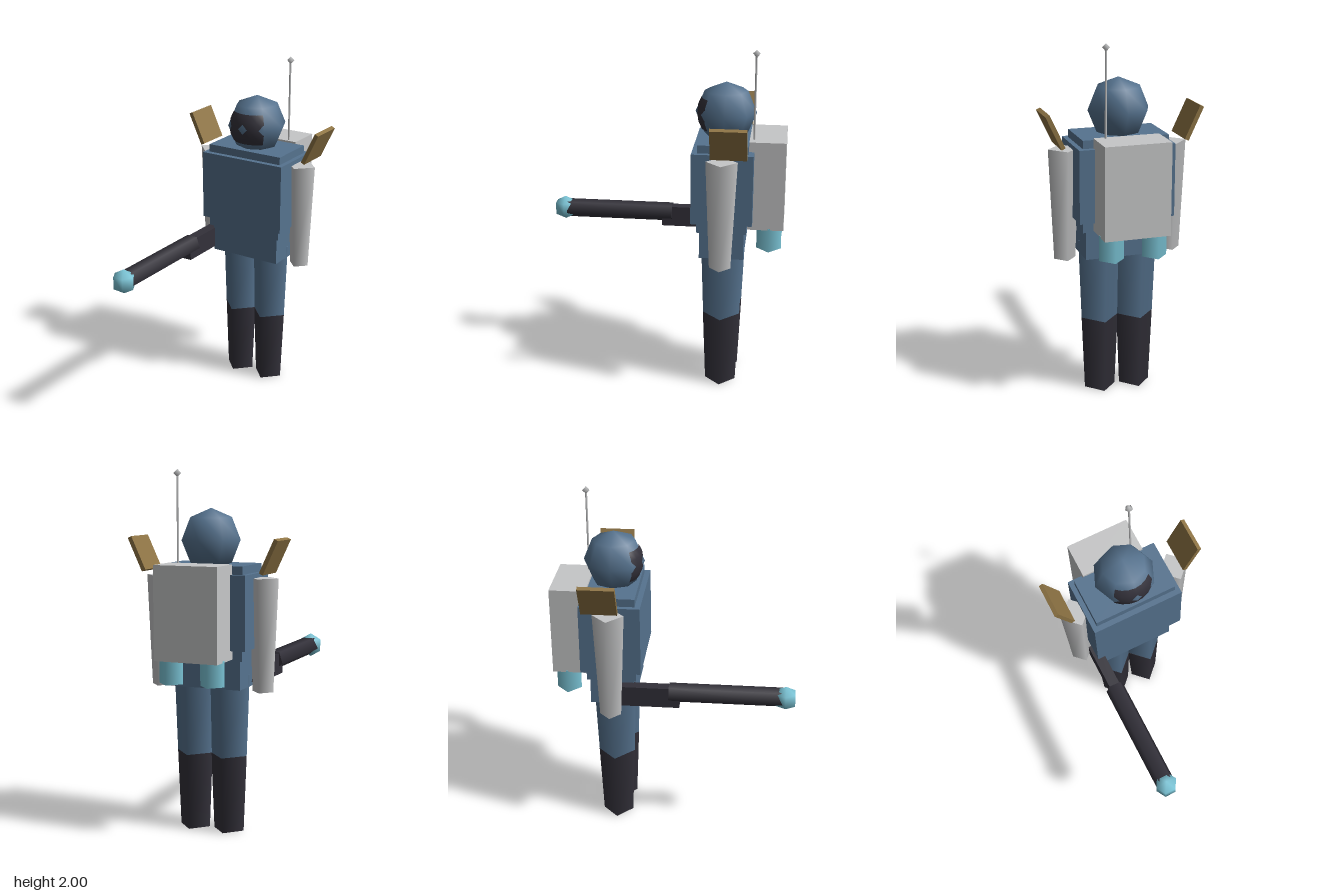
import * as THREE from 'three';

const mat = (name, color) => {
  const m = new THREE.MeshStandardMaterial({ color });
  m.name = name;
  return m;
};

export function createModel() {
  const blue = mat('armour blue', 0x56738f);
  const dark = mat('charcoal', 0x33313a);
  const grey = mat('light grey', 0xc6c7c8);
  const gold = mat('bronze', 0x8f7545);
  const cyan = mat('glow cyan', 0x7cc6d8);

  const model = new THREE.Group();
  model.name = 'armouredTrooper';
  const Z = -0.348; // depth of the body axis

  const add = (name, geometry, material, x, y, z) => {
    const mesh = new THREE.Mesh(geometry, material);
    mesh.name = name;
    mesh.position.set(x, y, z);
    model.add(mesh);
    return mesh;
  };
  // box given by its lower and upper limits in y
  const slab = (name, material, w, y0, y1, d, x = 0, z = Z) =>
    add(name, new THREE.BoxGeometry(w, y1 - y0, d), material, x, (y0 + y1) / 2, z);
  // four-sided tapering limb between two heights
  const limb = (name, material, rTop, rBottom, y0, y1, x, z = Z) =>
    add(name, new THREE.CylinderGeometry(rTop, rBottom, y1 - y0, 4), material, x, (y0 + y1) / 2, z);

  // Torso
  slab('pelvis', blue, 0.44, 0.82, 0.98, 0.25);
  slab('torso', blue, 0.48, 0.98, 1.49, 0.28);
  slab('chestArmour', blue, 0.535, 1.04, 1.445, 0.342);

  // Helmet, with a curved visor that its facets partly break through
  add('helmet', new THREE.SphereGeometry(0.172, 8, 4), blue, 0, 1.62, Z);
  const visor = new THREE.SphereGeometry(0.164, 6, 4,
    Math.PI / 2 - 0.8, 1.6, 1.0, Math.PI - 2.0);
  add('visor', visor, dark, 0, 1.617, Z);

  // Paired limbs, shoulder plates and thrusters
  for (const s of [-1, 1]) {
    const side = s > 0 ? 'left' : 'right';
    limb(side + 'Leg', blue, 0.123, 0.106, 0.43, 0.89, s * 0.104);
    limb(side + 'Boot', dark, 0.107, 0.089, 0, 0.43, s * 0.103);
    limb(side + 'Arm', grey, 0.088, 0.06, 0.8, 1.42, s * 0.305);
    const plate = add(side + 'ShoulderPlate', new THREE.BoxGeometry(0.024, 0.2, 0.2),
      gold, s * 0.386, 1.542, -0.388);
    plate.rotation.z = -s * 0.436;
    limb(side + 'Thruster', cyan, 0.07, 0.07, 0.86, 1.0, s * 0.12, -0.612);
  }

  // Backpack and antenna
  slab('backpack', grey, 0.366, 0.99, 1.5, 0.203, 0, -0.591);
  add('antennaRod', new THREE.CylinderGeometry(0.006, 0.006, 0.5, 5), grey, 0.122, 1.73, -0.514);
  add('antennaTip', new THREE.SphereGeometry(0.022, 5, 2), grey, 0.122, 1.978, -0.514);

  // Gun held at the right hip
  slab('gunBody', dark, 0.062, 0.84, 0.96, 0.34, -0.244, -0.13);
  const barrel = new THREE.CylinderGeometry(0.0575, 0.0575, 0.64, 5).rotateX(Math.PI / 2);
  add('gunBarrel', barrel, dark, -0.243, 0.92, 0.3);
  add('muzzleOrb', new THREE.SphereGeometry(0.072, 6, 3), cyan, -0.245, 0.92, 0.638);

  return model;
}
